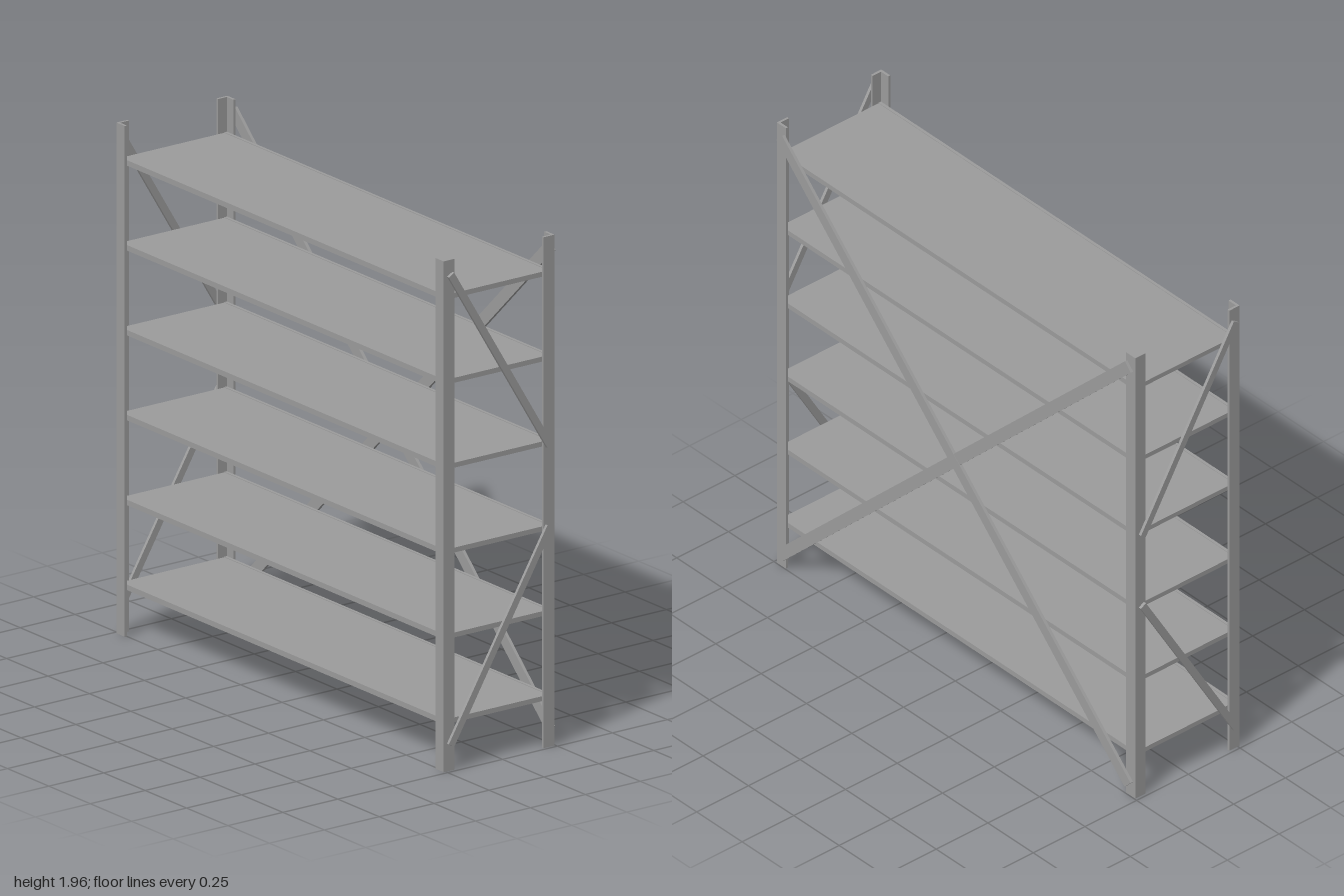
import * as THREE from 'three';

const material = new THREE.MeshStandardMaterial({ color: 0x9b9b9b, flatShading: true });

const HEIGHT = 1.96;
const OUT_X = 0.988, FRONT_Z = 0.259, BACK_Z = -0.246; // outer faces of the posts
const FLANGE = 0.05, STEEL = 0.01;

function box(name, w, h, d, x, y, z) {
  const mesh = new THREE.Mesh(new THREE.BoxGeometry(w, h, d), material);
  mesh.name = name;
  mesh.position.set(x, y, z);
  return mesh;
}

// L-section upright with its outer corner at (x, z), opening inwards
function post(name, x, z) {
  const sx = -Math.sign(x), sz = -Math.sign(z);
  const outline = [[0, 0], [FLANGE, 0], [FLANGE, STEEL], [STEEL, STEEL], [STEEL, FLANGE], [0, FLANGE]]
    .map(([u, v]) => new THREE.Vector2(x + sx * u, -(z + sz * v)));
  const geometry = new THREE.ExtrudeGeometry(new THREE.Shape(outline), { depth: HEIGHT, bevelEnabled: false });
  geometry.rotateX(-Math.PI / 2);
  const mesh = new THREE.Mesh(geometry, material);
  mesh.name = name;
  return mesh;
}

// Shelf: sheet set just below the top of its long rails, open underneath
function shelf(y) {
  const group = new THREE.Group();
  group.name = 'shelf';
  const w = 2 * (OUT_X - STEEL), z0 = BACK_Z + STEEL, z1 = FRONT_Z - STEEL;
  const d = z1 - z0, zc = (z0 + z1) / 2, h = 0.021, rail = 0.012, t = 0.005, drop = 0.002;
  const lipH = h - t - drop;
  group.add(box('shelfSheet', w, t, d - 2 * rail, 0, y + h / 2 - drop - t / 2, zc));
  for (const s of [-1, 1]) {
    group.add(box('shelfRail', w, h, rail, 0, y, zc + s * (d - rail) / 2));
    group.add(box('shelfEndLip', t, lipH, d - 2 * rail, s * (w - t) / 2, y - h / 2 + lipH / 2, zc));
  }
  return group;
}

// Flat bar between two points; size is its [x, z] section before tilting
function bar(name, from, to, size) {
  const a = new THREE.Vector3(...from), b = new THREE.Vector3(...to);
  const mesh = box(name, size[0], a.distanceTo(b), size[1], 0, 0, 0);
  mesh.position.copy(a).add(b).multiplyScalar(0.5);
  mesh.quaternion.setFromUnitVectors(new THREE.Vector3(0, 1, 0), b.sub(a).normalize());
  return mesh;
}

export function createModel() {
  const rack = new THREE.Group();
  rack.name = 'shelvingRack';

  // Corner posts and zigzag side braces
  for (const s of [-1, 1]) {
    const side = s > 0 ? 'left' : 'right';
    rack.add(post(side + 'FrontPost', s * OUT_X, FRONT_Z));
    rack.add(post(side + 'BackPost', s * OUT_X, BACK_Z));
    const x = s * (OUT_X + 0.006);
    rack.add(bar(side + 'UpperSideBrace', [x, 1.16, -0.217], [x, 1.905, 0.232], [0.012, 0.028]));
    rack.add(bar(side + 'LowerSideBrace', [x, 0.10, 0.232], [x, 0.85, -0.217], [0.012, 0.028]));
  }

  // Six evenly spaced shelves
  for (let i = 0; i < 6; i++) rack.add(shelf(0.188 + i * 0.3257));

  // Crossed braces on the back, one just over the other
  for (const s of [-1, 1]) {
    const z = BACK_Z - 0.006 - (s > 0 ? 0.001 : 0);
    rack.add(bar('backBrace', [-s * 0.96, 0.052, z], [s * 0.96, 1.912, z], [0.047, 0.012]));
  }
  return rack;
}
